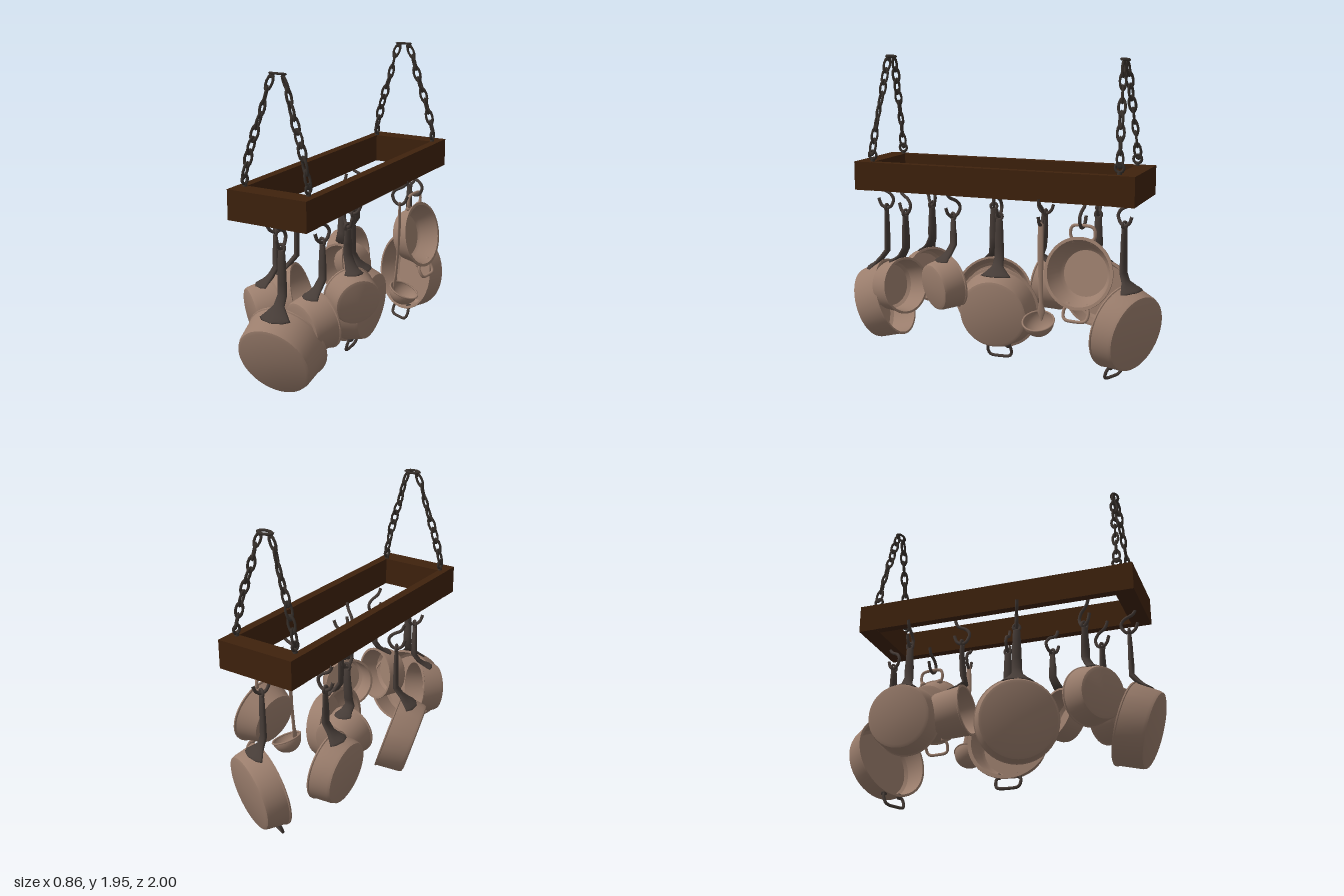
import * as THREE from 'three';
import { toCreasedNormals } from 'three/addons/utils/BufferGeometryUtils.js';

const mat = (name, color, side = THREE.FrontSide) => {
  const m = new THREE.MeshStandardMaterial({ color, side });
  m.name = name;
  return m;
};
const V = (x, y, z) => new THREE.Vector3(x, y, z);

export function createModel() {
  const wood = mat('dark wood', 0x3f220d);
  const copper = mat('dull copper', 0x9a7d6c, THREE.DoubleSide);
  const iron = mat('dark iron', 0x463c37);
  const chainIron = mat('chain iron', 0x37302b);

  const model = new THREE.Group();
  model.name = 'hangingPotRack';

  const add = (parent, name, geometry, material, x = 0, y = 0, z = 0) => {
    const m = new THREE.Mesh(geometry, material);
    m.name = name;
    m.position.set(x, y, z);
    parent.add(m);
    return m;
  };
  const tube = (pts, r, n = 24, sides = 7) =>
    new THREE.TubeGeometry(new THREE.CatmullRomCurve3(pts), n, r, sides, false);

  // Flat bar swept in the y-z plane; rows are [y, z, halfWidth, halfThickness, sag]
  function sweepBar(rows) {
    const N = 12, pos = [], idx = [];
    rows.forEach(([y, z, w, t, sag], i) => {
      const p = rows[Math.max(i - 1, 0)], q = rows[Math.min(i + 1, rows.length - 1)];
      const len = Math.hypot(q[0] - p[0], q[1] - p[1]);
      const ny = (q[1] - p[1]) / len, nz = -(q[0] - p[0]) / len;
      for (let j = 0; j < N; j++) {
        const a = (j / N) * Math.PI * 2, x = w * Math.cos(a);
        const o = t * Math.sin(a) - sag * x * x;
        pos.push(x, y + ny * o, z + nz * o);
        if (i < rows.length - 1) {
          const a0 = i * N + j, b0 = i * N + (j + 1) % N;
          idx.push(a0, b0, a0 + N, b0, b0 + N, a0 + N);
        }
      }
    });
    const g = new THREE.BufferGeometry();
    g.setAttribute('position', new THREE.Float32BufferAttribute(pos, 3));
    g.setIndex(idx);
    g.computeVertexNormals();
    return g;
  }

  // Wooden frame, turned slightly
  const rack = new THREE.Group();
  rack.name = 'rack';
  rack.position.set(0.067, 0, 0.005);
  rack.rotation.y = -0.061;
  model.add(rack);
  for (const s of [-1, 1]) {
    add(rack, 'frameSide', new THREE.BoxGeometry(0.055, 0.178, 1.58), wood, s * 0.2325, 1.22, 0);
    add(rack, 'frameEnd', new THREE.BoxGeometry(0.52, 0.18, 0.12), wood, 0, 1.22, s * 0.845);
  }

  // Chains: an arch of alternating links over each end
  const linkGeo = new THREE.TorusGeometry(0.021, 0.008, 6, 12).scale(1, 2.1, 1);
  const half = [[0.205, 1.4], [0.16, 1.57], [0.1, 1.75], [0.045, 1.92]];
  for (const s of [-1, 1]) {
    const chain = new THREE.Group();
    chain.name = 'chain';
    rack.add(chain);
    const at = ([x, y]) => V(x, y, s * (0.8 - (y - 1.4) * 0.06));
    const path = new THREE.CatmullRomCurve3([
      ...half.map(([x, y]) => at([-x, y])), at([0, 1.958]),
      ...half.slice().reverse().map(at)]);
    const n = 16;
    for (let i = 0; i <= n; i++) {
      const link = add(chain, 'chainLink', linkGeo, chainIron);
      link.position.copy(path.getPointAt(i / n));
      link.quaternion.setFromUnitVectors(V(0, 1, 0), path.getTangentAt(i / n));
      link.rotateY(((i + 1) % 2) * Math.PI / 2 + 0.4 * Math.sin(i * 2.3));
    }
    for (const k of [-1, 1]) {
      add(chain, 'screwEye', new THREE.TorusGeometry(0.026, 0.009, 6, 14), chainIron, k * 0.21, 1.35, s * 0.8)
        .rotation.y = Math.PI / 2;
      add(chain, 'screwEyeStem', new THREE.CylinderGeometry(0.012, 0.016, 0.03, 8), chainIron, k * 0.21, 1.315, s * 0.8);
    }
  }

  // S-hook in the y-z plane of its group
  const hookGeo = tube([[1.15, 0.05], [1.11, 0.03], [1.075, -0.03], [1.04, -0.05], [0.995, -0.03],
    [0.982, 0], [1.0, 0.035], [1.045, 0.055]].map(([y, z]) => V(0, y, z)), 0.0105, 28);
  const hung = (name, x, z, yaw) => {
    const g = new THREE.Group();
    g.name = name;
    g.position.set(x, 0, z);
    g.rotation.y = yaw;
    model.add(g);
    add(g, 'hook', hookGeo, iron);
    return g;
  };

  // Pan hanging with its base towards local +z, tipped down by tilt
  function pan({ name, x, z, yaw, R, r, d, y, tilt, off = 0.03, handle = true, loops = [], loopMat = iron, lip = 0.006 }) {
    const g = hung(name, x, z, yaw);
    const c = Math.cos(tilt), s = Math.sin(tilt);
    const bz = off + d * c - R * s;
    const body = new THREE.Group();
    body.name = 'panBody';
    body.position.set(0, y, bz);
    body.rotation.x = tilt - Math.PI / 2;
    g.add(body);
    const profile = [[0, 0], [r - 0.025, 0], [r - 0.007, 0.007], [r, 0.025], [R, d - 0.012], [R + lip, d - 0.008],
      [R + lip, d], [R - 0.008, d], [r - 0.01, 0.03], [r - 0.028, 0.013], [0, 0.013]];
    const lathe = new THREE.LatheGeometry(profile.map(p => new THREE.Vector2(...p)), 40);
    add(body, 'panBowl', toCreasedNormals(lathe, 0.6), copper);

    // Small bail handles on the rim
    for (const k of loops) {
      const pts = [[-0.06, 0], [-0.078, 0.035], [-0.068, 0.085], [0, 0.095], [0.068, 0.085], [0.078, 0.035], [0.06, 0]];
      add(body, 'loopHandle', tube(pts.map(([px, o]) => V(px, d - 0.03 + o * 0.2, k * (R - 0.018 + o))), 0.01), loopMat);
      for (const e of [-1, 1])
        add(body, 'loopMount', new THREE.SphereGeometry(0.02, 10, 8), loopMat, e * 0.062, d - 0.035, k * (R - 0.014));
    }
    if (!handle) return;

    // Long handle flaring into a plate on the wall
    const wall = (f, lift) => {
      const rad = r + (R - r) * f + lift;
      return [y + f * d * s + rad * c, bz - f * d * c + rad * s];
    };
    const k = R / 0.25, sag = 0.5 / R;
    const [ty, tz] = wall(0.95, 0.028);
    add(g, 'handle', sweepBar([
      [0.97, 0, 0.002, 0.002, 0], [0.965, 0, 0.022, 0.012, 0], [0.9, 0, 0.026, 0.015, 0],
      [ty + 0.12, Math.min(tz, 0) * 0.3, 0.03, 0.018, 0], [ty + 0.05, Math.min(tz, 0) * 0.7, 0.031, 0.018, 0],
      [ty, tz - 0.008, 0.036, 0.016, sag * 0.4],
      [...wall(0.78, 0.01), 0.07 * k, 0.013, sag], [...wall(0.6, 0.004), 0.1 * k, 0.01, sag],
      [...wall(0.45, 0.003), 0.07 * k, 0.008, sag], [...wall(0.36, 0), 0.003, 0.004, sag]]), iron);
    add(g, 'handleEye', new THREE.TorusGeometry(0.021, 0.009, 7, 14), iron, 0, 0.985, 0);
  }

  const big = { R: 0.25, r: 0.235, d: 0.185 };
  const small = { R: 0.175, r: 0.16, d: 0.16, y: 0.49, tilt: 0.15 };
  [
    { name: 'frontSaucepan', x: 0.05, z: 0.81, yaw: 0, ...big, y: 0.33, tilt: 0.34 },
    { name: 'rightSideSaucepan', x: -0.21, z: 0.16, yaw: -1.265, ...big, y: 0.34, tilt: 0.3 },
    { name: 'smallPanFrontRight', x: -0.13, z: 0.565, yaw: -0.743, ...small },
    { name: 'smallPanFrontLeft', x: 0.205, z: 0.61, yaw: -0.44, ...small },
    { name: 'smallPanLeft', x: 0.21, z: 0.285, yaw: 0.905, R: 0.162, r: 0.15, d: 0.15, y: 0.55, tilt: 0.15 },
    { name: 'fryingPan', x: 0.115, z: 0.015, yaw: Math.PI / 2, R: 0.25, r: 0.22, d: 0.14, y: 0.385, tilt: 0.1, loops: [-1], lip: 0.016 },
    { name: 'backPan', x: 0.165, z: -0.785, yaw: 2.65, R: 0.262, r: 0.243, d: 0.15, y: 0.335, tilt: 0.17, off: 0.015, loops: [-1] },
    { name: 'backRightPan', x: -0.13, z: -0.56, yaw: -Math.PI / 2, R: 0.213, r: 0.2, d: 0.15, y: 0.46, tilt: 0.13 },
    { name: 'deepPan', x: -0.08, z: -0.23, yaw: 3.05, R: 0.155, r: 0.145, d: 0.2, y: 0.51, tilt: 0.1, off: -0.03 },
    { name: 'openBowl', x: 0.3, z: -0.562, yaw: -1.71, R: 0.207, r: 0.168, d: 0.14, y: 0.69, tilt: 0.21,
      off: -0.02, handle: false, loops: [-1, 1], loopMat: copper, lip: 0.01 },
  ].forEach(pan);

  // Ladle
  const ladle = hung('ladle', 0.295, -0.305, Math.PI / 2);
  add(ladle, 'ladleHandle', sweepBar([
    [1.0, 0, 0.003, 0.002, 0], [0.99, 0, 0.016, 0.006, 0], [0.85, 0.002, 0.02, 0.007, 0], [0.65, -0.006, 0.015, 0.008, 0],
    [0.5, -0.018, 0.014, 0.008, 0], [0.44, -0.024, 0.025, 0.007, 0], [0.38, -0.03, 0.003, 0.003, 0]]), copper);
  const bowl = add(ladle, 'ladleBowl',
    new THREE.SphereGeometry(0.096, 28, 12, 0, Math.PI * 2, Math.PI / 2, Math.PI / 2), copper, 0, 0.4, 0.042);
  bowl.rotation.x = 0.4;
  const rim = add(bowl, 'ladleRim', new THREE.TorusGeometry(0.096, 0.006, 6, 28), copper);
  rim.rotation.x = Math.PI / 2;

  return model;
}
